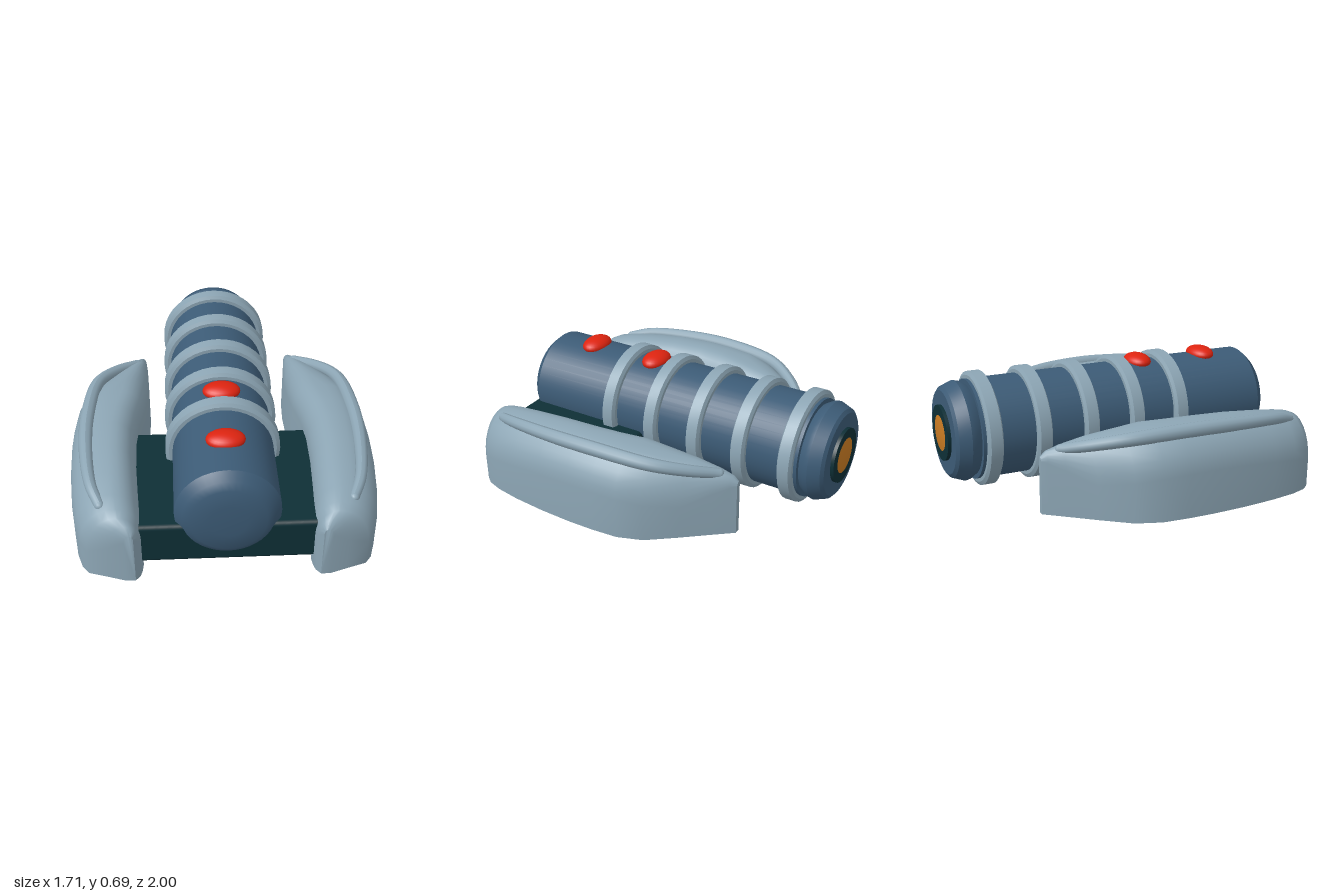
import * as THREE from 'three';
import { toCreasedNormals } from 'three/addons/utils/BufferGeometryUtils.js';
import { RoundedBoxGeometry } from 'three/addons/geometries/RoundedBoxGeometry.js';

const AXIS_Y = 0.37; // height of the barrel axis

function material(name, color) {
  const m = new THREE.MeshStandardMaterial({ color });
  m.name = name;
  return m;
}

// Turned part along z from [radius, z] pairs listed from back to front
function turned(profile, segments = 40) {
  const geo = new THREE.LatheGeometry(profile.map(([r, z]) => new THREE.Vector2(r, z)), segments);
  geo.rotateX(Math.PI / 2);
  geo.translate(0, AXIS_Y, 0);
  return toCreasedNormals(geo, 0.5);
}

// Pod cross-section: flat bottom, upright walls, rounded shoulders
function podSection(inner, outer, top) {
  const w = outer - inner;
  const ri = Math.min(0.13, w * 0.38), ro = Math.min(0.21, w * 0.58);
  const hi = Math.min(0.16, w * 0.6), ho = Math.min(0.23, w * 0.9);
  const pts = [[inner, 0]];
  const n = 7;
  for (let k = 0; k <= n; k++) {
    const a = (k / n) * Math.PI / 2;
    pts.push([inner + ri * (1 - Math.cos(a)), top - hi * (1 - Math.sin(a))]);
  }
  for (let k = 0; k <= n; k++) {
    const a = (k / n) * Math.PI / 2;
    pts.push([outer - ro * (1 - Math.sin(a)), top - ho * (1 - Math.cos(a))]);
  }
  pts.push([outer, 0]);
  return pts;
}

// Side pod lofted through sections [z, inner x, outer x, top y]
function podGeometry(side) {
  const sections = [
    [1.0, 0.49, 0.54, 0.32], [0.97, 0.465, 0.63, 0.36], [0.935, 0.455, 0.74, 0.39],
    [0.89, 0.45, 0.775, 0.41], [0.8, 0.458, 0.805, 0.43], [0.65, 0.47, 0.83, 0.45],
    [0.45, 0.483, 0.848, 0.47], [0.25, 0.485, 0.855, 0.478], [0.1, 0.47, 0.852, 0.476],
    [-0.05, 0.44, 0.84, 0.47], [-0.19, 0.425, 0.79, 0.45], [-0.345, 0.42, 0.67, 0.42],
    [-0.48, 0.427, 0.56, 0.38], [-0.555, 0.436, 0.5, 0.35], [-0.585, 0.445, 0.475, 0.32],
  ];
  const pos = [], index = [];
  let n = 0;
  for (const [z, inner, outer, top] of sections) {
    const ring = podSection(inner, outer, top);
    n = ring.length;
    for (const [x, y] of ring) pos.push(side * x, y, z);
  }
  const tri = (a, b, c) => (side > 0 ? index.push(a, b, c) : index.push(a, c, b));
  const last = sections.length - 1;
  for (let i = 0; i < last; i++) {
    for (let j = 0; j < n; j++) {
      const k = (j + 1) % n;
      const a = i * n + j, b = i * n + k, c = a + n, d = b + n;
      tri(a, b, c);
      tri(b, d, c);
    }
  }
  for (let j = 1; j < n - 1; j++) {
    tri(0, j + 1, j);
    tri(last * n, last * n + j, last * n + j + 1);
  }
  const geo = new THREE.BufferGeometry();
  geo.setAttribute('position', new THREE.Float32BufferAttribute(pos, 3));
  geo.setIndex(index);
  return toCreasedNormals(geo, 0.75);
}

// Raised rib along the pod's shoulder, narrower at its ends
function ribCurve(side) {
  const path = [
    [0.66, 0.395, 0.84], [0.71, 0.425, 0.72], [0.75, 0.447, 0.45], [0.755, 0.455, 0.15],
    [0.71, 0.437, -0.19], [0.61, 0.4, -0.36], [0.49, 0.358, -0.485],
  ];
  return new THREE.CatmullRomCurve3(path.map(([x, y, z]) => new THREE.Vector3(side * x, y, z)));
}

function ribGeometry(curve) {
  const steps = 40, radial = 12;
  const geo = new THREE.TubeGeometry(curve, steps, 0.04, radial);
  const p = geo.attributes.position, v = new THREE.Vector3();
  for (let i = 0; i <= steps; i++) {
    const centre = curve.getPointAt(i / steps);
    const s = 0.7 + 0.3 * Math.sin(Math.PI * i / steps);
    for (let j = 0; j <= radial; j++) {
      const k = i * (radial + 1) + j;
      v.fromBufferAttribute(p, k).sub(centre).multiplyScalar(s).add(centre);
      p.setXYZ(k, v.x, v.y, v.z);
    }
  }
  geo.computeVertexNormals();
  return geo;
}

export function createModel() {
  const model = new THREE.Group();
  model.name = 'model';
  const grey = material('pale grey blue', 0x8ca5b4);
  const blue = material('steel blue', 0x3c5b76);
  const dark = material('dark teal', 0x0e2f36);
  const red = material('red', 0xdd2410);
  const orange = material('orange', 0xc87a22);

  const add = (name, geo, mat, parent = model) => {
    const mesh = new THREE.Mesh(geo, mat);
    mesh.name = name;
    parent.add(mesh);
    return mesh;
  };

  // Barrel with bevelled front end
  add('barrel', turned([
    [0, -0.83], [0.28, -0.83], [0.28, 0.89], [0.24, 0.935], [0.2, 0.96], [0.1, 0.969], [0, 0.972],
  ]), blue);

  // Rings around the barrel
  for (let i = 0; i < 5; i++) {
    const z = 0.357 - i * 0.2815;
    add('ring' + (i + 1), turned([
      [0.27, z - 0.043], [0.3, z - 0.043], [0.32, z - 0.032],
      [0.32, z + 0.032], [0.3, z + 0.043], [0.27, z + 0.043],
    ]), grey);
  }

  // Rear cap, its dark collar and the glowing nozzle
  add('rearCap', turned([
    [0, -0.972], [0.235, -0.97], [0.255, -0.955], [0.28, -0.89],
    [0.275, -0.865], [0.25, -0.825], [0, -0.82],
  ]), blue);
  add('rearCollar', turned([[0, -0.99], [0.155, -0.99], [0.155, -0.95]]), dark);
  add('nozzle', turned([[0, -1.0], [0.06, -0.997], [0.1, -0.99], [0.1, -0.98]]), orange);

  // Buttons on top of the barrel
  for (const z of [0.64, 0.215]) {
    const button = add('button', new THREE.SphereGeometry(1, 28, 16), red);
    button.scale.set(0.105, 0.045, 0.074);
    button.position.set(0, 0.646, z);
  }

  // Deck joining the pods
  const deck = add('deck', new RoundedBoxGeometry(1.02, 0.25, 0.78, 3, 0.025), dark);
  deck.position.set(0, 0.185, 0.54);

  // Side pods with ribs
  for (const side of [1, -1]) {
    const pod = new THREE.Group();
    pod.name = side > 0 ? 'leftPod' : 'rightPod';
    model.add(pod);
    add('podBody', podGeometry(side), grey, pod);
    const curve = ribCurve(side);
    add('rib', ribGeometry(curve), grey, pod);
    for (const t of [0, 1]) {
      add('ribEnd', new THREE.SphereGeometry(0.028, 12, 8), grey, pod).position.copy(curve.getPointAt(t));
    }
  }
  return model;
}
